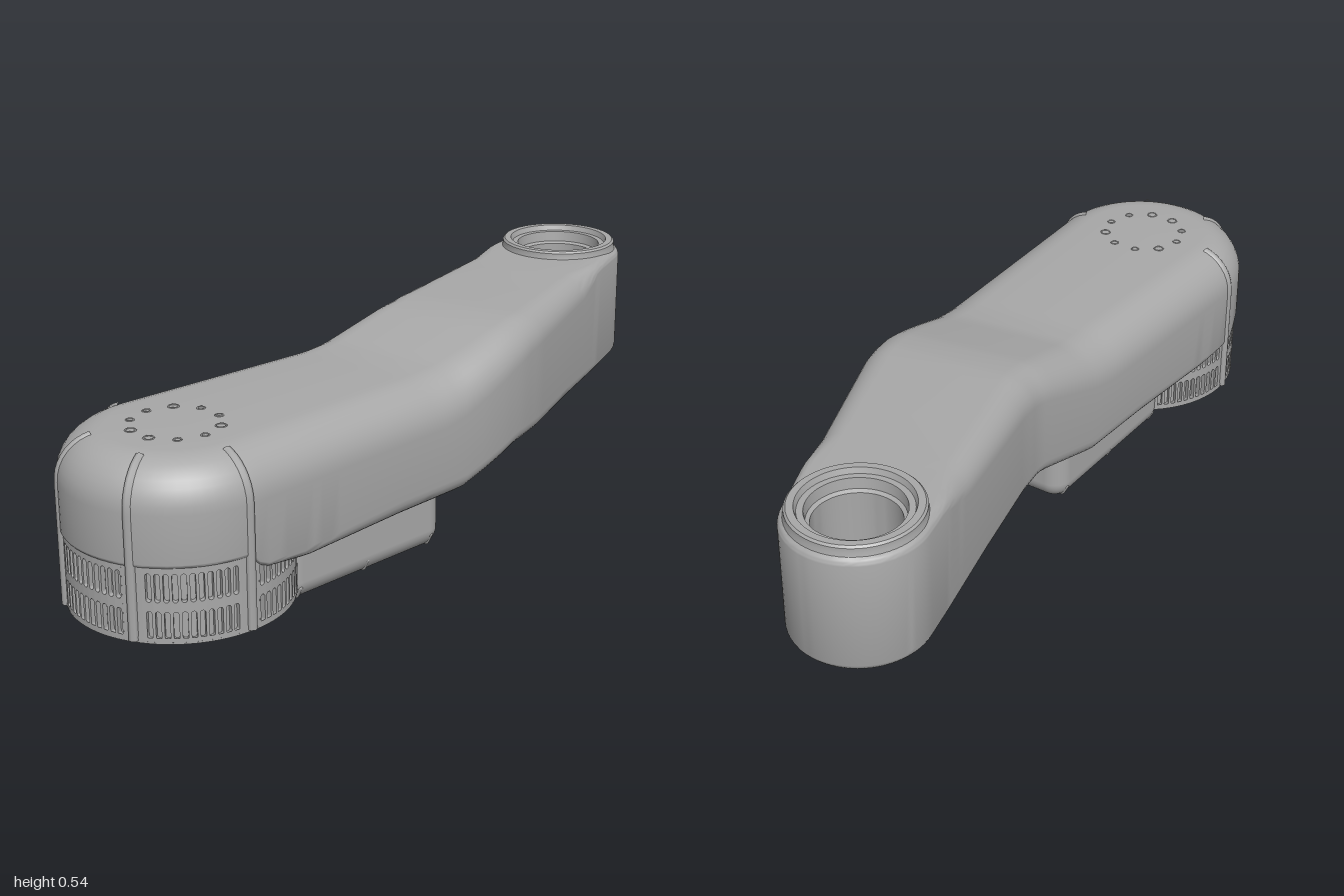
import * as THREE from 'three';
import { mergeGeometries, toCreasedNormals } from 'three/addons/utils/BufferGeometryUtils.js';
import { RoundedBoxGeometry } from 'three/addons/geometries/RoundedBoxGeometry.js';

const D = Math.PI / 180;
const FRONT = { x: -0.04, z: 0.73, r: 0.27 }, REAR = { x: -0.04, z: -0.83, r: 0.17 };
const AXIS = -8; // heading of the front arm, degrees from +z

// Linear interpolation through [z, value] pairs listed from front to rear
function along(table, z) {
  if (z >= table[0][0]) return table[0][1];
  for (let i = 1; i < table.length; i++) {
    const [z0, v0] = table[i - 1], [z1, v1] = table[i];
    if (z >= z1) return v0 + (v1 - v0) * (z - z0) / (z1 - z0);
  }
  return table[table.length - 1][1];
}
const rightX = z => along([[0.758, 0.2285], [0.1, 0.297], [0, 0.306], [-0.07, 0.308], [-0.15, 0.304], [-0.25, 0.287], [-0.874, 0.124]], z);
const leftX = z => along([[0.683, -0.306], [-0.16, -0.152], [-0.24, -0.153], [-0.812, -0.209]], z);
const topY = z => along([[0.16, 0.455], [0.08, 0.461], [-0.12, 0.51], [-0.2, 0.52]], z);
const baseY = z => along([[0.775, 0.22], [0.75, 0.182], [0.6, 0.157], [0.08, 0.157], [-0.13, 0.21]], z);
const topFillet = z => along([[0.15, 0.11], [-0.25, 0.075], [-0.6, 0.06], [-0.72, 0.025]], z);
const baseFillet = z => along([[0.75, 0.01], [0.6, 0.03], [0.3, 0.045], [-0.5, 0.04], [-0.72, 0.03]], z);
const onCircle = (c, deg, r = c.r) => [c.x + r * Math.sin(deg * D), c.z + r * Math.cos(deg * D)];
const circle = (c, r, n = 48) => Array.from({ length: n }, (_, i) => onCircle(c, i * 360 / n, r));

// Arm shell: plan outline swept upward with rounded edges, then capped
function shellGeometry() {
  const right = [], left = [], END = 16, SIDE = 60;
  for (let i = 0; i <= END; i++) {
    right.push(onCircle(FRONT, AXIS + 92 * i / END));
    left.push(onCircle(FRONT, AXIS - 92 * i / END));
  }
  for (let s = 1; s < SIDE; s++) {
    const zr = 0.758 - 1.632 * s / SIDE, zl = 0.683 - 1.495 * s / SIDE;
    right.push([rightX(zr), zr]);
    left.push([leftX(zl), zl]);
  }
  for (let i = 0; i <= END; i++) {
    const a = 85.5 * (1 - i / END);
    right.push(onCircle(REAR, 190.5 - a));
    left.push(onCircle(REAR, 190.5 + a));
  }
  const N = right.length, T = 2 * N - 2, split = END + 36;
  const outline = [...right, ...left.slice(1, -1).reverse()];
  const L = i => (i === 0 ? 0 : T - i);
  const pos = [], idx = [], A = new THREE.Vector3(), B = new THREE.Vector3(), C = new THREE.Vector3();
  const add = (x, y, z) => pos.push(x, y, z) / 3 - 1;
  // Adds a triangle turned to face the given direction
  const tri = (a, b, c, dir) => {
    A.fromArray(pos, a * 3); B.fromArray(pos, b * 3).sub(A); C.fromArray(pos, c * 3).sub(A);
    if (B.cross(C).dot(dir) >= 0) idx.push(a, b, c); else idx.push(a, c, b);
  };

  const levels = [];
  for (let j = 0; j <= 6; j++) levels.push([false, j * 15 * D]);
  for (let j = 0; j <= 9; j++) levels.push([true, j * 10 * D]);
  for (const [top, a] of levels) {
    outline.forEach(([x, z], i) => {
      const p = outline[(i + T - 1) % T], q = outline[(i + 1) % T];
      const dx = q[0] - p[0], dz = q[1] - p[1], len = Math.hypot(dx, dz);
      const f = top ? topFillet(z) : baseFillet(z);
      const inset = f * (1 - (top ? Math.cos(a) : Math.sin(a)));
      const px = x + dz / len * inset, pz = z - dx / len * inset;
      add(px, top ? topY(pz) - f * (1 - Math.sin(a)) : baseY(pz) + f * (1 - Math.cos(a)), pz);
    });
  }
  for (let j = 0; j < levels.length - 1; j++) for (let i = 0; i < T; i++) {
    const a = j * T + i, b = j * T + (i + 1) % T;
    idx.push(a, b, b + T, a, b + T, a + T);
  }

  // Underside pockets between the lengthwise ribs of the rear arm
  const pockets = [0.04, 0.37, 0.7].map(f => [[f, -0.27], [f + 0.26, -0.27], [f + 0.26, -0.64], [f, -0.64]].map(([t, z]) => {
    const a = leftX(z) + 0.055, b = rightX(z) - 0.06;
    return [a + (b - a) * t, z];
  }));
  for (const top of [false, true]) {
    const base = top ? (levels.length - 1) * T : 0, dir = new THREE.Vector3(0, top ? 1 : -1, 0);
    for (let i = 0; i < split; i++) {
      tri(base + i, base + i + 1, base + L(i + 1), dir);
      if (i > 0) tri(base + i, base + L(i + 1), base + L(i), dir);
    }
    const ring = [];
    for (let i = split; i <= L(split); i++) ring.push(base + i);
    const v2 = ([x, z]) => new THREE.Vector2(x, -z);
    const holes = [circle(REAR, 0.118), ...(top ? [] : pockets)];
    const ids = [...ring];
    for (const h of holes) for (const [x, z] of h) ids.push(add(x, top ? 0.52 : 0.21, z));
    const contour = ring.map(k => new THREE.Vector2(pos[k * 3], -pos[k * 3 + 2]));
    const faces = THREE.ShapeUtils.triangulateShape(contour, holes.map(h => h.map(v2).reverse()));
    // Hole corners were reversed for triangulation, so map them back
    let start = ring.length;
    for (const h of holes) {
      const part = ids.slice(start, start + h.length).reverse();
      ids.splice(start, h.length, ...part);
      start += h.length;
    }
    for (const [a, b, c] of faces) tri(ids[a], ids[b], ids[c], dir);
  }
  for (const p of pockets) {
    const lo = p.map(([x, z]) => add(x, 0.21, z)), hi = p.map(([x, z]) => add(x, 0.24, z));
    const cx = p.reduce((s, q) => s + q[0] / 4, 0), cz = p.reduce((s, q) => s + q[1] / 4, 0);
    for (let i = 0; i < 4; i++) {
      const k = (i + 1) % 4;
      const inward = new THREE.Vector3(cx - (p[i][0] + p[k][0]) / 2, 0, cz - (p[i][1] + p[k][1]) / 2);
      tri(lo[i], lo[k], hi[k], inward);
      tri(lo[i], hi[k], hi[i], inward);
    }
    const down = new THREE.Vector3(0, -1, 0);
    tri(hi[0], hi[1], hi[2], down);
    tri(hi[0], hi[2], hi[3], down);
  }
  const g = new THREE.BufferGeometry();
  g.setAttribute('position', new THREE.Float32BufferAttribute(pos, 3));
  g.setIndex(idx);
  return toCreasedNormals(g, 0.6);
}

// One vent cell: a narrow wall piece with two upright slots
function ventCell(width) {
  const s = new THREE.Shape([[-width / 2, 0.04], [width / 2, 0.04], [width / 2, 0.222], [-width / 2, 0.222]].map(p => new THREE.Vector2(...p)));
  for (const y of [0.05, 0.14]) {
    const h = new THREE.Path(), r = 0.0062;
    h.absarc(0, y + r, r, Math.PI, 2 * Math.PI, false);
    h.absarc(0, y + 0.068 - r, r, 0, Math.PI, false);
    h.closePath();
    s.holes.push(h);
  }
  return new THREE.ExtrudeGeometry(s, { depth: 0.014, bevelEnabled: false, curveSegments: 4 });
}

export function createModel() {
  const model = new THREE.Group();
  const grey = new THREE.MeshStandardMaterial({ color: 0xa8a8a8 });
  grey.name = 'light grey';
  const add = (name, geometry, x = 0, y = 0, z = 0) => {
    const m = new THREE.Mesh(geometry, grey);
    m.name = name;
    m.position.set(x, y, z);
    model.add(m);
    return m;
  };
  const lathe = pts => toCreasedNormals(new THREE.LatheGeometry(pts.map(p => new THREE.Vector2(...p)), 64), 0.5);

  add('armShell', shellGeometry());

  // Slotted wall around the front housing, with solid stretches between panels
  const R = 0.265, step = 46.4 / 11, cells = [], walls = [];
  const cell = ventCell(2 * R * Math.tan(step / 2 * D));
  const wall = (r, from, sweep) => new THREE.CylinderGeometry(r, r, 0.182, Math.ceil(sweep / 4), 1, true, from * D, sweep * D).translate(0, 0.131, 0);
  for (const centre of [-115, -57.5, 0, 57.5, 115]) {
    for (let i = -5; i <= 5; i++) cells.push(cell.clone().translate(0, 0, R - 0.014).rotateY((AXIS + centre + i * step) * D));
    walls.push(wall(R, AXIS + centre + 23.2, centre === 115 ? 83.6 : 11.1));
  }
  add('ventPanels', mergeGeometries(cells), FRONT.x, 0, FRONT.z);
  add('ventWalls', mergeGeometries(walls), FRONT.x, 0, FRONT.z);
  add('ventBacking', wall(R - 0.013, 0, 360), FRONT.x, 0, FRONT.z);

  // Upright ribs that curl over the shell's rounded shoulder
  for (const a of [-87, -28, 28, 87]) {
    const pts = [[0.264, 0.045], [0.264, 0.2], [0.264, 0.33]];
    for (let b = 0; b <= 75; b += 15) pts.push([0.16 + 0.104 * Math.cos(b * D), 0.345 + 0.104 * Math.sin(b * D)]);
    const path = new THREE.CatmullRomCurve3(pts.map(([r, y]) => new THREE.Vector3(0, y, r)));
    add('shellRib', new THREE.TubeGeometry(path, 28, 0.012, 8), FRONT.x, 0, FRONT.z).rotation.y = (AXIS + a) * D;
  }

  // Round base plate under the front housing
  add('basePlate', lathe([[0.001, 0.06], [0.035, 0.06], [0.035, 0.036], [0.055, 0.036], [0.06, 0.048], [0.085, 0.048], [0.09, 0.044],
    [0.215, 0.044], [0.22, 0.05], [0.232, 0.05], [0.236, 0.04], [0.258, 0.04], [0.266, 0.045], [0.266, 0.055]]), FRONT.x, 0, FRONT.z);
  for (let i = 0; i < 10; i++) {
    const [bx, bz] = onCircle(FRONT, i * 36, 0.195), [tx, tz] = onCircle(FRONT, i * 36 + 10, 0.105);
    add('baseBolt', new THREE.CylinderGeometry(0.009, 0.009, 0.008, 12), bx, 0.042, bz);
    add('topScrewHole', new THREE.TorusGeometry(i % 3 ? 0.009 : 0.012, 0.002, 6, 16).rotateX(Math.PI / 2), tx, 0.455, tz);
  }

  // Hollow rear hub with a raised collar
  add('rearHub', lathe([[0.115, 0.24], [0.118, 0.205], [0.138, 0.205], [0.14, 0.212], [0.14, 0.4], [0.162, 0.505], [0.155, 0.525], [0.155, 0.536], [0.15, 0.541],
    [0.133, 0.541], [0.128, 0.527], [0.113, 0.527], [0.11, 0.5], [0.101, 0.495], [0.101, 0.245], [0.115, 0.24]]), REAR.x, 0, REAR.z);

  // Gearbox cover below the front arm, with small clips along its lower edges
  const box = new THREE.Group();
  box.name = 'gearbox';
  box.position.set(0.02, 0, 0.31);
  box.rotation.y = AXIS * D;
  const cover = new THREE.Mesh(new RoundedBoxGeometry(0.355, 0.22, 0.515, 5, 0.05), grey);
  cover.name = 'gearboxCover';
  cover.position.y = 0.11;
  box.add(cover);
  for (const side of [-1, 1]) for (const z of [-0.215, 0, 0.215]) {
    const clip = new THREE.Mesh(new THREE.CapsuleGeometry(0.008, 0.025, 4, 8), grey);
    clip.name = 'gearboxClip';
    clip.position.set(side * 0.163, 0.025, z);
    clip.rotation.z = -side * 0.5;
    box.add(clip);
  }
  model.add(box);
  return model;
}
